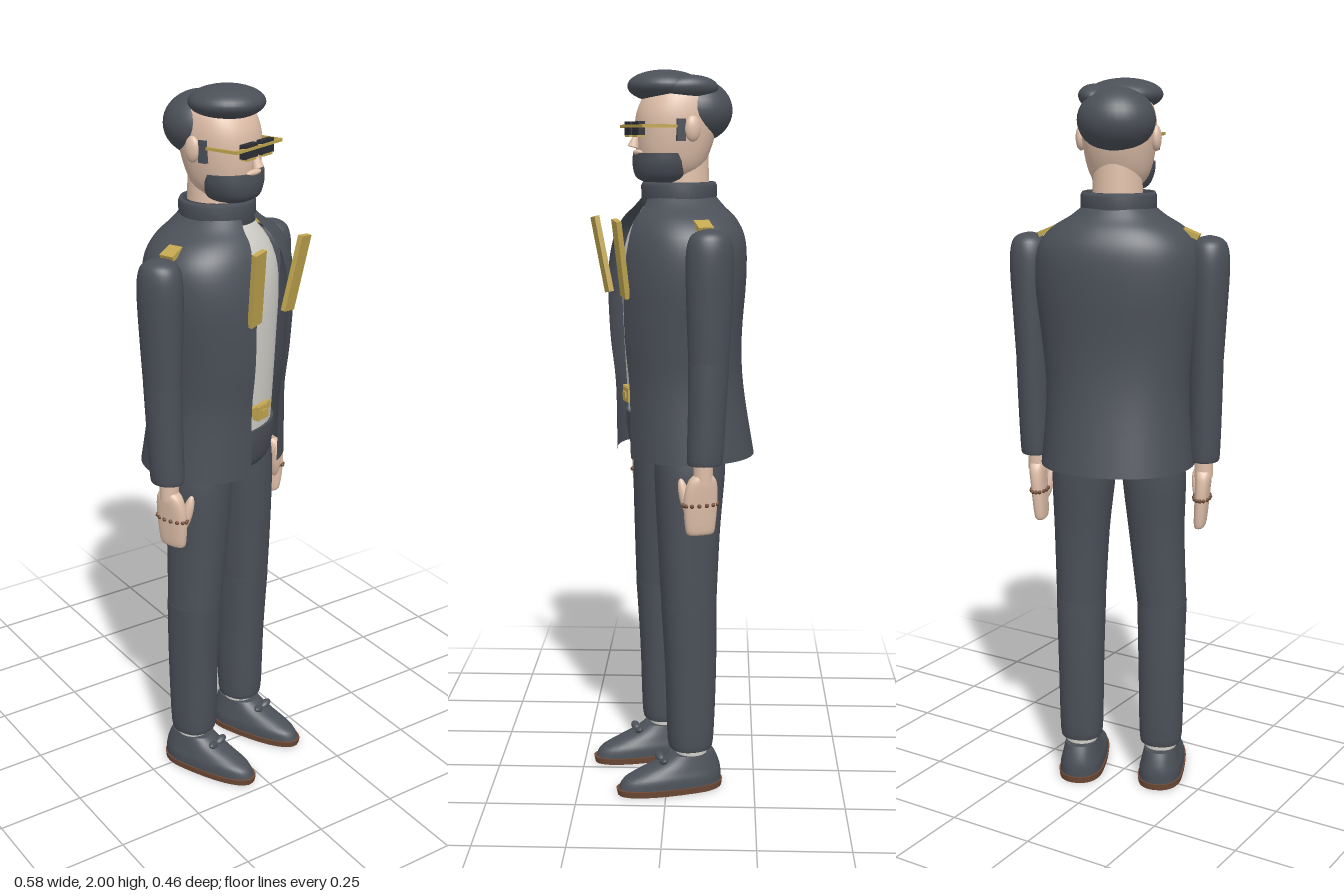
import * as THREE from 'three';

const mat = (name, color, side = THREE.FrontSide) => {
  const m = new THREE.MeshStandardMaterial({ color, side });
  m.name = name;
  return m;
};

// Lofts superellipse rings, rows ascending: [y, halfWidth, front, back, cx, cz, openingHalfWidth]
function loft(rows, { n = 2.2, seg = 36, sub = 4, open = false } = {}) {
  const full = rows.map((r) => [...r, 0, 0, 0, 0].slice(0, 7));
  const at = (i) => full[Math.min(Math.max(i, 0), full.length - 1)];
  const rings = [];
  for (let i = 0; i < full.length - 1; i++) {
    for (let s = 0; s < sub; s++) {
      const t = s / sub;
      rings.push(at(i).map((p1, k) => {
        const p0 = at(i - 1)[k], p2 = at(i + 1)[k], p3 = at(i + 2)[k];
        return p1 + 0.5 * t * (p2 - p0 + t * (2 * p0 - 5 * p1 + 4 * p2 - p3 + t * (3 * (p1 - p2) + p3 - p0)));
      }));
    }
  }
  rings.push(at(full.length - 1));
  const pos = [], idx = [], cols = open ? seg + 1 : seg;
  const pw = (v) => Math.sign(v) * Math.abs(v) ** (2 / n);
  const ring = ([y, a, f, b, cx, cz, h]) => {
    const g = open ? Math.asin(Math.min(1, (h / a) ** (n / 2))) : 0;
    for (let j = 0; j < cols; j++) {
      const t = g + (j / seg) * (2 * Math.PI - 2 * g), c = Math.cos(t);
      pos.push(cx + a * pw(Math.sin(t)), y, cz + (c > 0 ? f : b) * pw(c));
    }
  };
  rings.forEach(ring);
  for (let i = 0; i < rings.length - 1; i++) {
    for (let j = 0; j < seg; j++) {
      const a = i * cols + j, b = i * cols + ((j + 1) % cols);
      idx.push(a, b, a + cols, b, b + cols, a + cols);
    }
  }
  // End caps with their own rim vertices
  if (!open) {
    [[rings[0], true], [rings[rings.length - 1], false]].forEach(([r, bottom]) => {
      const base = pos.length / 3;
      ring(r);
      pos.push(r[4], r[0], r[5]);
      for (let j = 0; j < seg; j++) {
        const a = base + j, b = base + ((j + 1) % seg);
        idx.push(base + seg, bottom ? b : a, bottom ? a : b);
      }
    });
  }
  const geo = new THREE.BufferGeometry();
  geo.setAttribute('position', new THREE.Float32BufferAttribute(pos, 3));
  geo.setIndex(idx);
  geo.computeVertexNormals();
  return geo;
}

export function createModel() {
  const suit = mat('suit charcoal', 0x4b5058, THREE.DoubleSide);
  const shirtWhite = mat('shirt white', 0xd3d1cb);
  const skin = mat('skin', 0xdfbfa9);
  const gold = mat('gold', 0xc2a750);
  const black = mat('lens black', 0x2b2e34);
  const brown = mat('sole brown', 0x6e4a36);

  const root = new THREE.Group();
  root.name = 'man';
  const body = new THREE.Group();
  body.name = 'body';
  body.rotation.y = 0.358;
  body.position.z = -0.03;
  root.add(body);

  const add = (name, geo, m, p = [0, 0, 0], r = [0, 0, 0], s = [1, 1, 1]) => {
    const mesh = new THREE.Mesh(geo, m);
    mesh.name = name;
    mesh.position.set(...p);
    mesh.rotation.set(...r);
    mesh.scale.set(...s);
    body.add(mesh);
    return mesh;
  };
  const box = (x, y, z) => new THREE.BoxGeometry(x, y, z);
  const ball = new THREE.SphereGeometry(1, 32, 20);

  // Torso: open jacket over a shirt, with hips below
  add('jacket', loft([
    [0.96, 0.215, 0.165, 0.205, 0, 0, 0.062], [1.15, 0.2, 0.17, 0.172, 0, 0, 0.066],
    [1.29, 0.21, 0.185, 0.163, 0, 0, 0.07], [1.45, 0.228, 0.188, 0.172, 0, 0, 0.074],
    [1.55, 0.222, 0.172, 0.17, 0, 0, 0.07], [1.605, 0.185, 0.148, 0.15, 0, 0, 0.052],
    [1.64, 0.13, 0.118, 0.12, 0, 0, 0.04], [1.665, 0.098, 0.098, 0.1, 0, 0, 0.025],
  ], { open: true, seg: 56 }), suit);
  add('shirt', loft([
    [1.06, 0.16, 0.135, 0.13], [1.3, 0.17, 0.148, 0.13], [1.48, 0.18, 0.15, 0.13],
    [1.58, 0.15, 0.128, 0.11], [1.66, 0.075, 0.08, 0.08],
  ]), shirtWhite);
  add('hips', loft([
    [0.94, 0.13, 0.09, 0.09], [0.965, 0.165, 0.125, 0.125], [1.03, 0.175, 0.14, 0.14], [1.075, 0.172, 0.142, 0.138],
  ]), suit);
  const collar = [[0.088, 1.64], [0.102, 1.645], [0.103, 1.695], [0.098, 1.705], [0.085, 1.705], [0.08, 1.64]];
  add('collar', new THREE.LatheGeometry(collar.map((p) => new THREE.Vector2(...p)), 40), suit);

  // Belt buckle
  add('buckleBar', box(0.085, 0.022, 0.014), gold, [0, 1.138, 0.143]);
  add('buckle', box(0.048, 0.04, 0.02), gold, [0, 1.128, 0.146]);
  add('buckleInset', box(0.024, 0.016, 0.006), gold, [0, 1.128, 0.157]);

  // Head, neck and hair
  add('neck', new THREE.CylinderGeometry(0.064, 0.07, 0.16, 32), skin, [0, 1.72, -0.015]);
  add('head', loft([
    [1.71, 0.05, 0.06, 0.05, 0, 0.02], [1.75, 0.08, 0.095, 0.08, 0, 0.015], [1.82, 0.096, 0.107, 0.105, 0, 0.012],
    [1.89, 0.099, 0.106, 0.11, 0, 0.008], [1.95, 0.08, 0.08, 0.09], [1.975, 0.03, 0.03, 0.03],
  ]), skin);
  add('beard', loft([
    [1.704, 0.045, 0.05, 0.04, 0, 0.045], [1.718, 0.072, 0.07, 0.06, 0, 0.048], [1.75, 0.087, 0.076, 0.072, 0, 0.05],
    [1.782, 0.09, 0.074, 0.075, 0, 0.05],
  ]), suit);
  add('mouth', ball, skin, [0, 1.783, 0.116], [0, 0, 0], [0.03, 0.008, 0.012]);
  add('nose', new THREE.ConeGeometry(0.016, 0.06, 12), skin, [0, 1.826, 0.122], [-0.25, 0, 0]);
  add('backHair', ball, suit, [-0.003, 1.893, -0.047], [0, 0, 0], [0.104, 0.086, 0.1]);
  add('topHair', ball, suit, [-0.01, 1.957, 0.038], [0, 0, 0], [0.102, 0.043, 0.1]);
  add('hairTuft', ball, suit, [0.055, 1.95, -0.01], [0, 0, 0.2], [0.05, 0.034, 0.08]);

  // Glasses front
  add('browBar', box(0.2, 0.008, 0.008), gold, [0, 1.852, 0.132]);

  for (const side of [1, -1]) {
    const S = side > 0 ? 'left' : 'right';
    // Ears, sideburns and glasses
    add(S + 'Ear', ball, skin, [side * 0.102, 1.845, -0.003], [0, 0, 0], [0.014, 0.034, 0.022]);
    add(S + 'Sideburn', box(0.016, 0.058, 0.024), suit, [side * 0.096, 1.842, 0.028]);
    add(S + 'Temple', box(0.006, 0.008, 0.125), gold, [side * 0.1, 1.852, 0.072]);
    add(S + 'Lens', box(0.056, 0.036, 0.018), black, [side * 0.036, 1.846, 0.126]);
    add(S + 'LensRim', box(0.04, 0.006, 0.02), gold, [side * 0.036, 1.826, 0.126]);

    // Lapel strips and shoulder tabs
    add(S + 'Lapel', box(0.046, 0.21, 0.014), gold, [side * 0.091, 1.507, 0.193], [0.155, 0, -side * 0.136]);
    add(S + 'ShoulderTab', box(0.046, 0.014, 0.042), gold, [side * 0.198, 1.596, 0], [0, 0, -side * 0.4]);

    // Sleeves
    const x = side * 0.248;
    add(S + 'UpperSleeve', loft([
      [1.235, 0.046, 0.054, 0.054, side * 0.243], [1.36, 0.05, 0.06, 0.06, side * 0.246],
      [1.5, 0.055, 0.064, 0.064, x], [1.56, 0.05, 0.057, 0.057, x], [1.583, 0.034, 0.038, 0.038, x],
      [1.592, 0.006, 0.006, 0.006, x],
    ], { n: 2 }), suit);
    add(S + 'LowerSleeve', loft([
      [0.97, 0.038, 0.044, 0.044, side * 0.24, 0.008], [0.985, 0.043, 0.049, 0.049, side * 0.24, 0.008],
      [1.1, 0.045, 0.051, 0.051, side * 0.242, 0.004], [1.245, 0.047, 0.055, 0.055, side * 0.243],
    ], { n: 2 }), suit);

    // Hand with thumb and bead bracelet
    const hx = side * 0.238;
    add(S + 'Wrist', new THREE.CylinderGeometry(0.026, 0.026, 0.06, 20), skin, [hx, 0.95, 0.012]);
    add(S + 'Hand', loft([
      [0.775, 0.012, 0.03, 0.035, side * 0.228, 0.018], [0.79, 0.017, 0.04, 0.042, side * 0.23, 0.018],
      [0.87, 0.02, 0.047, 0.047, side * 0.235, 0.018], [0.92, 0.022, 0.04, 0.04, hx, 0.015], [0.94, 0.02, 0.026, 0.026, hx, 0.012],
    ], { n: 2.6 }), skin);
    add(S + 'Thumb', ball, skin, [side * 0.215, 0.875, 0.055], [0.2, 0, side * 0.15], [0.014, 0.055, 0.015]);
    for (let i = 0; i < 14; i++) {
      const t = (i / 14) * Math.PI * 2;
      add(S + 'Bead', new THREE.SphereGeometry(0.006, 8, 6), brown,
        [side * 0.234 + 0.022 * Math.sin(t), 0.86, 0.018 + 0.048 * Math.cos(t)]);
    }

    // Trouser legs, split at the knee
    const lx = side * 0.118 - 0.006;
    add(S + 'Thigh', loft([
      [0.54, 0.069, 0.076, 0.076, lx, 0.008], [0.75, 0.077, 0.086, 0.086, side * 0.108, 0.008],
      [0.92, 0.088, 0.094, 0.098, side * 0.1, 0.004], [1.0, 0.082, 0.092, 0.096, side * 0.094, 0],
    ], { n: 2.3 }), suit);
    add(S + 'Shin', loft([
      [0.125, 0.05, 0.052, 0.052, lx, 0.003], [0.14, 0.061, 0.063, 0.064, lx, 0.003],
      [0.35, 0.065, 0.07, 0.072, lx, 0.003], [0.55, 0.07, 0.077, 0.077, lx, 0.008],
    ], { n: 2.3 }), suit);

    // Sock and shoe
    add(S + 'Sock', new THREE.CylinderGeometry(0.046, 0.044, 0.08, 24), shirtWhite, [lx, 0.105, 0]);
    add(S + 'Sole', loft([
      [0, 0.063, 0.218, 0.088, lx], [0.018, 0.065, 0.222, 0.09, lx],
    ], { n: 2.3, sub: 1 }), brown);
    add(S + 'Shoe', loft([
      [0.018, 0.061, 0.214, 0.086, lx], [0.042, 0.06, 0.2, 0.086, lx], [0.062, 0.055, 0.155, 0.083, lx],
      [0.085, 0.05, 0.095, 0.075, lx], [0.104, 0.046, 0.062, 0.066, lx],
    ], { n: 2.3 }), suit);
    for (const k of [-1, 1]) {
      add(S + 'LaceLoop', ball, suit, [lx + k * 0.018, 0.09, 0.088], [0.4, 0, k * 0.3], [0.02, 0.009, 0.012]);
    }
  }
  return root;
}
